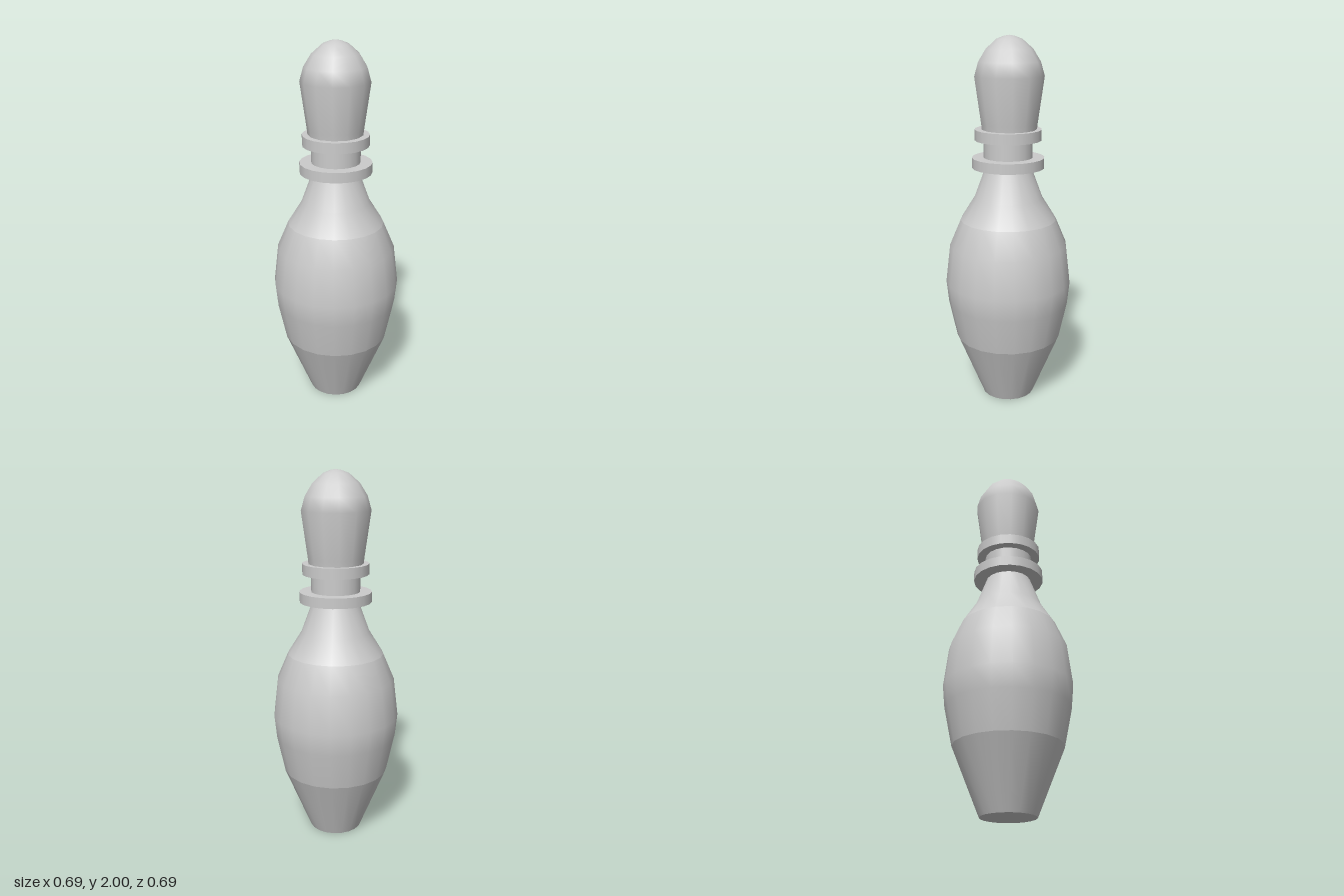
import * as THREE from 'three';

export function createModel() {
  const group = new THREE.Group();
  const material = new THREE.MeshStandardMaterial({ color: 0xcccccc });

  const add = (name, geometry) => {
    const mesh = new THREE.Mesh(geometry, material);
    mesh.name = name;
    group.add(mesh);
    return mesh;
  };

  // Turned section from [radius, height] points, listed upwards
  const turn = (name, profile, sides = 20, start = 0) =>
    add(name, new THREE.LatheGeometry(
      profile.map(([r, y]) => new THREE.Vector2(r, y)), sides, start));

  // Flat underside
  const underside = add('underside', new THREE.CircleGeometry(0.145, 20));
  underside.rotation.x = Math.PI / 2;

  // Body in three smooth sections that meet at creases
  turn('foot', [[0.145, 0], [0.15, 0.012], [0.29, 0.355]]);
  turn('belly', [[0.29, 0.355], [0.333, 0.56], [0.345, 0.68], [0.32, 0.89], [0.26, 1.03]]);
  turn('shoulder', [[0.26, 1.03], [0.185, 1.15], [0.122, 1.32]]);

  // Neck with two collars
  const disc = (name, radius, bottom, top) => {
    const mesh = add(name, new THREE.CylinderGeometry(radius, radius, top - bottom, 20));
    mesh.position.y = (bottom + top) / 2;
  };
  disc('lowerCollar', 0.194, 1.315, 1.37);
  disc('neck', 0.131, 1.34, 1.5);
  disc('upperCollar', 0.178, 1.463, 1.52);

  // Head, with fewer sides and a rounded crown
  const head = turn('head', [
    [0.145, 1.5], [0.15, 1.55], [0.184, 1.795], [0.163, 1.868],
    [0.123, 1.932], [0.068, 1.98], [0.03, 1.995], [0, 2],
  ], 13, Math.PI / 2);
  head.position.z = -0.005;

  return group;
}
